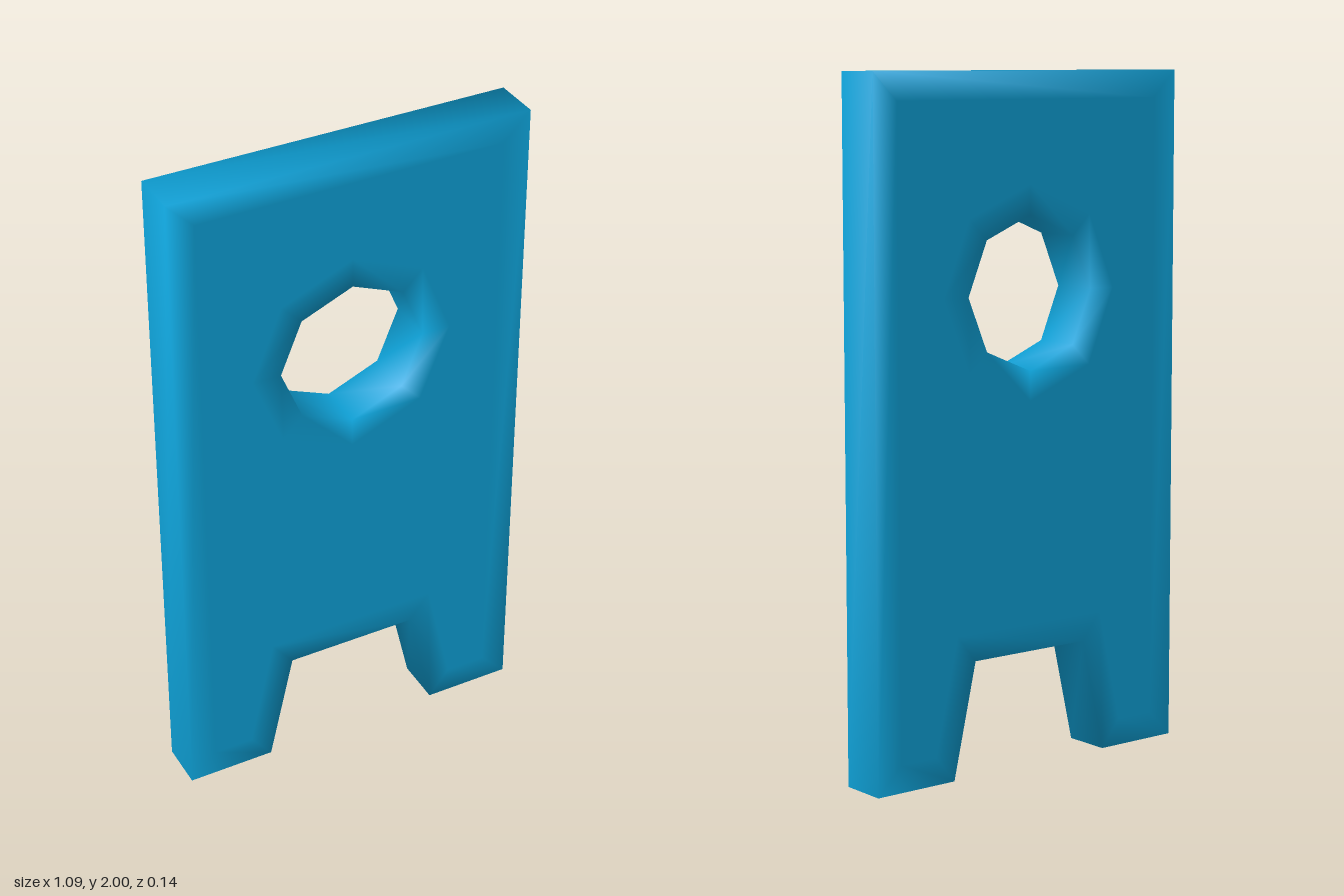
import * as THREE from 'three';
import { mergeVertices } from 'three/addons/utils/BufferGeometryUtils.js';

const HALF_WIDTH = 0.543, HEIGHT = 2, DEPTH = 0.144;
const HOLE_Y = 1.375, HOLE_RADIUS = 0.222, HOLE_SIDES = 8;
const RIM = 0.08; // flat border that carries the soft edge shading

const points = (list) => list.map(([x, y]) => new THREE.Vector2(x, y));

export function createModel() {
  const group = new THREE.Group();
  group.name = 'boardWithHole';

  // Upright board with a tapered notch that leaves two feet
  const outline = new THREE.Shape(points([
    [-HALF_WIDTH, 0], [-0.277, 0], [-0.2, 0.338], [0.2, 0.338], [0.277, 0],
    [HALF_WIDTH, 0], [HALF_WIDTH, HEIGHT], [-HALF_WIDTH, HEIGHT],
  ]));

  // Octagonal hole, wound against the outline
  const corners = [];
  for (let i = 0; i < HOLE_SIDES; i++) {
    const a = (-i / HOLE_SIDES) * Math.PI * 2;
    corners.push([HOLE_RADIUS * Math.cos(a), HOLE_Y + HOLE_RADIUS * Math.sin(a)]);
  }
  outline.holes.push(new THREE.Path(points(corners)));

  // A bevel without thickness adds a coplanar border around every edge
  let geometry = new THREE.ExtrudeGeometry(outline, {
    depth: DEPTH, bevelEnabled: true, bevelThickness: 0,
    bevelSize: RIM, bevelOffset: -RIM, bevelSegments: 1,
  });
  geometry.translate(0, 0, -DEPTH / 2);

  // Weld the corners so the normals run smoothly over the edges
  geometry.deleteAttribute('uv');
  geometry.deleteAttribute('normal');
  geometry = mergeVertices(geometry, 1e-4);
  geometry.computeVertexNormals();

  const board = new THREE.Mesh(geometry, new THREE.MeshStandardMaterial({ color: 0x0fa8e0 }));
  board.name = 'board';
  group.add(board);
  return group;
}
